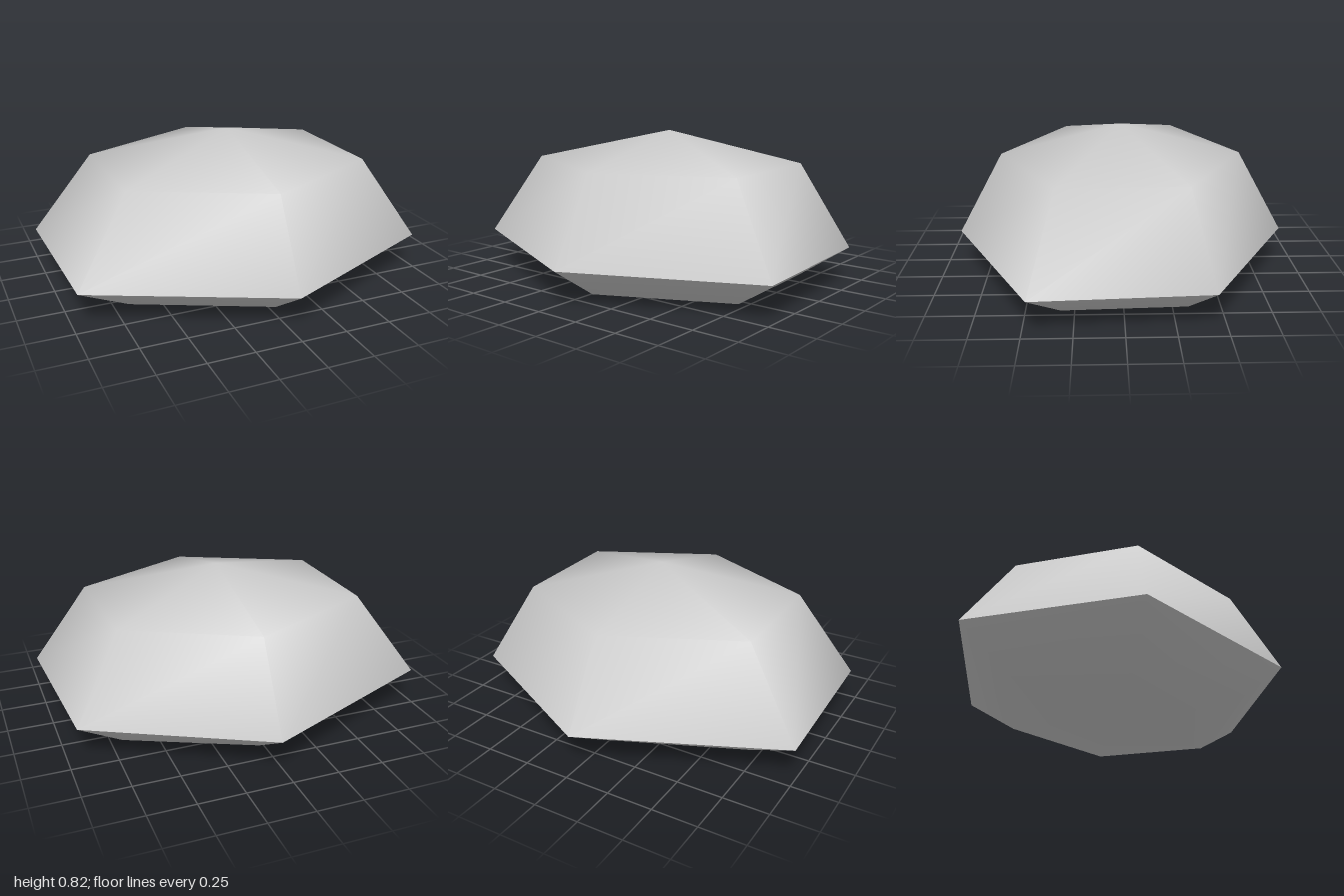
import * as THREE from 'three';

// Slightly uneven hexagons, listed as [x, z] from the front corner round by the left (+x)
const girdle = [[0.03, 0.92], [1, 0.47], [0.945, -0.445], [0.03, -0.925], [-1, -0.465], [-0.97, 0.455]];
const shoulder = [[0.03, 0.67], [0.71, 0.34], [0.69, -0.33], [0.03, -0.67], [-0.68, -0.34], [-0.67, 0.33]];
const foot = [[0.03, 0.65], [0.72, 0.32], [0.69, -0.33], [0.03, -0.64], [-0.69, -0.33], [-0.67, 0.32]];

const ring = (points, y) => points.map(([x, z]) => [x, y, z]);

// Skins a list of rings from bottom to top; a ring of one point closes to a tip
function skin(name, rings, material) {
  const positions = rings.flat(2);
  const index = [];
  let start = 0;
  for (let r = 0; r < rings.length - 1; r++) {
    const below = rings[r].length, above = rings[r + 1].length;
    const next = start + below;
    for (let i = 0; i < 6; i++) {
      const a = start + (i % below), b = start + ((i + 1) % below);
      const c = next + ((i + 1) % above), d = next + (i % above);
      if (a !== b) index.push(a, b, c);
      if (c !== d) index.push(a, c, d);
    }
    start = next;
  }
  const geometry = new THREE.BufferGeometry();
  geometry.setAttribute('position', new THREE.Float32BufferAttribute(positions, 3));
  geometry.setIndex(index);
  geometry.computeVertexNormals();
  const mesh = new THREE.Mesh(geometry, material);
  mesh.name = name;
  return mesh;
}

export function createModel() {
  const group = new THREE.Group();
  group.name = 'hexagonalStone';
  const material = new THREE.MeshStandardMaterial({ color: 0xcccccc });

  // Two smooth halves meeting in a sharp edge at the girdle
  group.add(
    skin('upperStone', [ring(girdle, 0.19), ring(shoulder, 0.65), [[0.03, 0.82, 0]]], material),
    skin('lowerStone', [[[0.02, 0, 0]], ring(foot, 0.01), ring(girdle, 0.19)], material),
  );
  return group;
}
